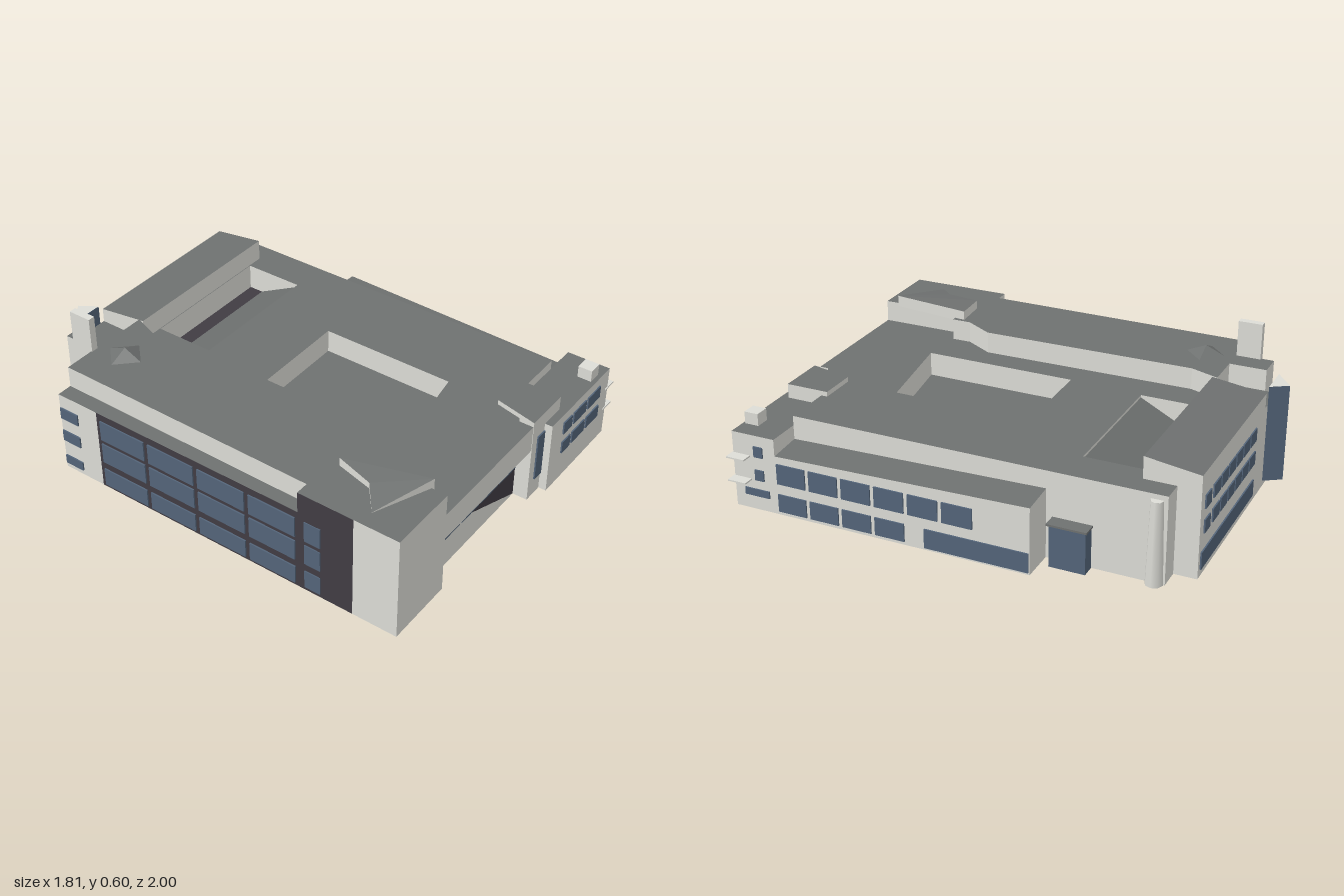
import * as THREE from 'three';

const mat = (name, color) => new THREE.MeshStandardMaterial({ name, color, side: THREE.DoubleSide });

export function createModel() {
  const model = new THREE.Group();
  const building = new THREE.Group();
  building.name = 'building';
  building.rotation.y = 0.209; // the block stands at an angle to the axes
  model.add(building);

  const wallMat = mat('pale wall', 0xdcdcd6);
  const roofMat = mat('grey roof', 0x6e7170);
  const glassMat = mat('blue glass', 0x536479);
  const darkMat = mat('dark cladding', 0x403c43);

  const add = (name, geo, material, x = 0, y = 0, z = 0) => {
    const mesh = new THREE.Mesh(geo, material);
    mesh.name = name;
    mesh.position.set(x, y, z);
    building.add(mesh);
    return mesh;
  };
  const box = (name, m, x0, x1, y0, y1, z0, z1) =>
    add(name, new THREE.BoxGeometry(x1 - x0, y1 - y0, z1 - z0), m, (x0 + x1) / 2, (y0 + y1) / 2, (z0 + z1) / 2);
  const height = (y, x, z) => (typeof y === 'function' ? y(x, z) : y);

  // Roof or floor from a plan outline; y is a number or a rule for a slope
  const roof = (name, pts, y, m = roofMat, holes = []) => {
    const toVec = p => new THREE.Vector2(p[0], -p[1]);
    const shape = new THREE.Shape(pts.map(toVec));
    holes.forEach(h => shape.holes.push(new THREE.Path(h.map(toVec))));
    const geo = new THREE.ShapeGeometry(shape).rotateX(-Math.PI / 2);
    const p = geo.attributes.position;
    for (let i = 0; i < p.count; i++) p.setY(i, height(y, p.getX(i), p.getZ(i)));
    const flat = geo.toNonIndexed();
    flat.computeVertexNormals();
    add(name, flat, m);
  };

  // Run of upright walls along plan points
  const wall = (name, pts, y0, y1, m = wallMat) => {
    const v = [];
    for (let i = 0; i + 1 < pts.length; i++) {
      const [ax, az] = pts[i], [bx, bz] = pts[i + 1];
      const a = [ax, height(y0, ax, az), az], b = [bx, height(y0, bx, bz), bz];
      const c = [bx, height(y1, bx, bz), bz], d = [ax, height(y1, ax, az), az];
      v.push(...a, ...b, ...c, ...a, ...c, ...d);
    }
    const geo = new THREE.BufferGeometry();
    geo.setAttribute('position', new THREE.Float32BufferAttribute(v, 3));
    geo.computeVertexNormals();
    add(name, geo, m);
  };
  const rect = (x0, x1, z0, z1) => [[x0, z0], [x1, z0], [x1, z1], [x0, z1]];
  const ring = pts => [...pts, pts[0]];
  const T = 0.003; // half thickness of plates
  const paneZ = (name, x0, x1, y0, y1, z) => box(name, glassMat, x0, x1, y0, y1, z - T, z + T);
  const paneX = (name, z0, z1, y0, y1, x) => box(name, glassMat, x - T, x + T, y0, y1, z0, z1);

  // Tall right-hand wing with a low ledge along its outer side
  roof('westRoof', [[-0.7, -0.725], [-0.55, -0.725], [-0.55, -0.874], [-0.448, -0.874], [-0.448, -0.72],
    [-0.295, -0.72], [-0.34, -0.6], [-0.33, 0.3], [-0.4, 0.42], [-0.4, 0.5], [-0.47, 0.5],
    [-0.47, 0.861], [-0.766, 0.861], [-0.766, 0.43], [-0.71, 0.43]], 0.45);
  roof('westLedge', [[-0.766, -0.725], [-0.7, -0.725], [-0.71, 0.43], [-0.766, 0.43]], 0.36);
  wall('westLedgeWall', [[-0.7, -0.725], [-0.71, 0.43], [-0.766, 0.43]], 0.36, 0.45);
  wall('westStep', [[-0.448, -0.874], [-0.448, -0.72], [-0.295, -0.72], [-0.34, -0.6], [-0.33, 0.3],
    [-0.4, 0.42], [-0.4, 0.5], [-0.47, 0.5], [-0.47, 0.861]], 0.35, 0.45);
  wall('westFront', [[-0.766, 0.861], [-0.47, 0.861]], 0, 0.45);
  wall('westCorner', [[-0.766, 0.67], [-0.766, 0.861]], 0, 0.45);
  wall('westStairPanel', [[-0.766, 0.43], [-0.766, 0.67]], 0, 0.45, darkMat);
  wall('westFacade', [[-0.766, -0.53], [-0.766, 0.43]], 0, 0.36, darkMat);
  wall('westBackCorner', [[-0.766, -0.53], [-0.766, -0.725], [-0.7, -0.725]], 0, 0.36);
  wall('westBackUpper', [[-0.7, -0.725], [-0.55, -0.725]], 0, 0.45);
  wall('westBack', [[-0.55, -0.725], [-0.55, -0.874], [-0.448, -0.874]], 0, 0.45);
  wall('linkBack', [[-0.448, -0.874], [-0.448, -0.922], [-0.295, -0.922]], 0, 0.36);
  roof('linkRoof', rect(-0.448, -0.295, -0.922, -0.72), 0.36);
  for (const [y0, y1] of [[0.015, 0.095], [0.13, 0.22], [0.24, 0.33]]) {
    for (const [z0, z1] of [[-0.51, -0.29], [-0.27, -0.05], [-0.03, 0.19], [0.21, 0.42]])
      paneX('westWindow', z0, z1, y0, y1, -0.77);
    paneX('westEndWindow', -0.72, -0.63, y0 + 0.01, y1 - 0.03, -0.77);
    paneX('westStairWindow', 0.46, 0.53, y0, y1, -0.767);
  }

  // Central roof with the courtyard and the back light well
  const court = [[-0.218, -0.13], [0.192, -0.133], [0.19, 0.45], [-0.222, 0.515]];
  const well = rect(-0.2, 0.39, -0.697, -0.44);
  roof('centralRoof', [[-0.47, 0.861], [0.34, 0.861], [0.34, 0.707], [0.548, 0.707], [0.548, -0.83],
    [0.46, -0.83], [0.46, -0.7], [-0.34, -0.7], [-0.34, 0.3], [-0.47, 0.5]], 0.36, roofMat, [court, well]);
  wall('courtyardWalls', ring(court), 0.26, 0.36);
  roof('courtyardFloor', court, 0.26);
  const wellFloor = (x, z) => THREE.MathUtils.lerp(0.25, 0.35, (z + 0.635) / 0.195);
  roof('wellFloor', rect(-0.2, 0.39, -0.697, -0.635), 0.25, darkMat);
  roof('wellSlope', rect(-0.2, 0.39, -0.635, -0.44), wellFloor);
  wall('wellWalls', ring(well), 0.25, 0.36);

  // Back wing
  const backTop = (x, z) => 0.42 + (z + 0.922) / 0.222 * 0.03;
  roof('backRoof', rect(-0.295, 0.46, -0.922, -0.7), backTop);
  wall('backInnerWall', [[-0.295, -0.7], [0.46, -0.7]], 0.25, 0.45);
  wall('backFacade', [[-0.295, -0.922], [0.46, -0.922], [0.46, -0.83]], 0, backTop);
  wall('backSideUpper', [[0.46, -0.83], [0.46, -0.7]], 0.36, backTop);
  wall('backLinkSide', [[-0.295, -0.922], [-0.295, -0.7]], 0.36, backTop);
  paneZ('backLongWindow', -0.18, 0.44, 0.03, 0.1, -0.925);
  for (const y of [0.17, 0.27]) {
    for (let i = 0; i < 6; i++)
      paneZ('backWindow', -0.18 + i * 0.087, -0.105 + i * 0.087, y, y + 0.055, -0.925);
    paneZ('backEndWindow', 0.36, 0.42, y, y + 0.055, -0.925);
  }

  // Back stair glazing, chimney slab and corner column
  const bay = [[-0.45, -0.925], [-0.36, -0.996], [-0.314, -0.925]];
  wall('glassBay', ring(bay), 0.03, 0.44, glassMat);
  roof('glassBayCap', bay, 0.442, wallMat);
  box('chimneySlab', wallMat, -0.57, -0.54, 0, 0.6, -0.82, -0.72);
  add('cornerColumn', new THREE.CylinderGeometry(0.025, 0.035, 0.34, 8), wallMat, 0.552, 0.17, -0.79);

  // Long left-hand side with its low roof and the wall rising behind it
  const low = (x, z) => 0.25 + (0.707 - z) * 0.024 + (0.69 - x) * 0.08;
  wall('eastBackWall', [[0.46, -0.83], [0.548, -0.83], [0.548, -0.364]], 0, 0.36);
  wall('eastUpperWall', [[0.548, -0.364], [0.548, 0.707], [0.34, 0.707]], 0.25, 0.36);
  roof('eastRoof', rect(0.548, 0.69, -0.364, 0.707), low);
  wall('eastFacade', [[0.548, -0.364], [0.69, -0.364], [0.69, 0.707]], 0, low);
  for (let i = 0; i < 6; i++) {
    const z = 0.575 - i * 0.142;
    paneX('eastUpperWindow', z, z + 0.125, 0.135, 0.22, 0.693);
    if (i < 4) paneX('eastLowerWindow', z, z + 0.125, 0.015, 0.09, 0.693);
  }
  paneX('eastLongWindow', -0.36, 0.065, 0.01, 0.09, 0.693);
  box('entranceGlass', glassMat, 0.55, 0.605, 0, 0.17, -0.545, -0.4);
  box('entranceCanopy', roofMat, 0.55, 0.61, 0.17, 0.178, -0.55, -0.39);

  // Front left block
  roof('cornerBlockRoof', rect(0.228, 0.69, 0.707, 0.896), 0.32);
  wall('cornerBlockBack', [[0.548, 0.707], [0.69, 0.707]], 0.25, 0.32);
  wall('cornerBlockWalls', [[0.69, 0.707], [0.69, 0.896], [0.228, 0.896], [0.228, 0.861]], 0, 0.32);
  for (const y of [0.13, 0.225])
    for (const [x0, x1] of [[0.32, 0.385], [0.4, 0.5], [0.515, 0.615]])
      paneZ('cornerFrontWindow', x0, x1, y, y + 0.055, 0.899);
  for (const y of [0.13, 0.23]) {
    paneX('cornerSideWindow', 0.76, 0.8, y, y + 0.045, 0.693);
    box('sunLedge', wallMat, 0.67, 0.735, y - 0.006, y, 0.82, 0.9);
  }
  paneX('cornerLowWindow', 0.74, 0.85, 0.06, 0.09, 0.693);
  box('roofUnit', wallMat, 0.56, 0.62, 0.325, 0.375, 0.82, 0.88);

  // Stair tower beside it
  const tower = [[0.137, 0.863], [0.18, 0.68], [0.34, 0.68], [0.34, 0.863]];
  roof('stairTowerRoof', tower, 0.38);
  wall('stairTowerUpper', ring(tower), 0.32, 0.38);
  wall('stairTowerFront', [[0.137, 0.8], [0.137, 0.863], [0.34, 0.863]], 0, 0.38);
  paneZ('stairTowerWindow', 0.175, 0.226, 0.08, 0.29, 0.866);

  // Front overhang above a recessed wall
  wall('overhangFascia', [[-0.47, 0.861], [0.137, 0.861]], 0.245, 0.36);
  roof('overhangSoffit', rect(-0.47, 0.137, 0.8, 0.861), 0.245, darkMat);
  wall('recessSide', [[-0.47, 0.8], [-0.47, 0.861]], 0, 0.245);
  const diagonal = x => 0.245 * (0.137 - x) / 0.607;
  wall('recessWallLight', [[-0.47, 0.8], [0.137, 0.8]], 0, diagonal);
  wall('recessWallDark', [[-0.47, 0.8], [0.137, 0.8]], diagonal, 0.245, darkMat);
  for (let i = 0; i < 4; i++)
    paneZ('recessWindow', -0.395 + i * 0.134, -0.273 + i * 0.134, 0.14, 0.2, 0.804);

  // Raised roof pieces on the tall wing
  const raised = [[-0.7, 0.7], [-0.6, 0.62], [-0.56, 0.464], [-0.415, 0.454], [-0.46, 0.8]];
  const lift = x => THREE.MathUtils.lerp(0.452, 0.488, THREE.MathUtils.clamp((x + 0.7) / 0.15, 0, 1));
  roof('raisedRoof', raised, lift);
  wall('raisedRoofEdge', ring(raised), 0.44, lift);
  add('roofPeak', new THREE.ConeGeometry(0.08, 0.035, 4).toNonIndexed(), roofMat, -0.51, 0.468, -0.6)
    .geometry.computeVertexNormals();

  return model;
}
